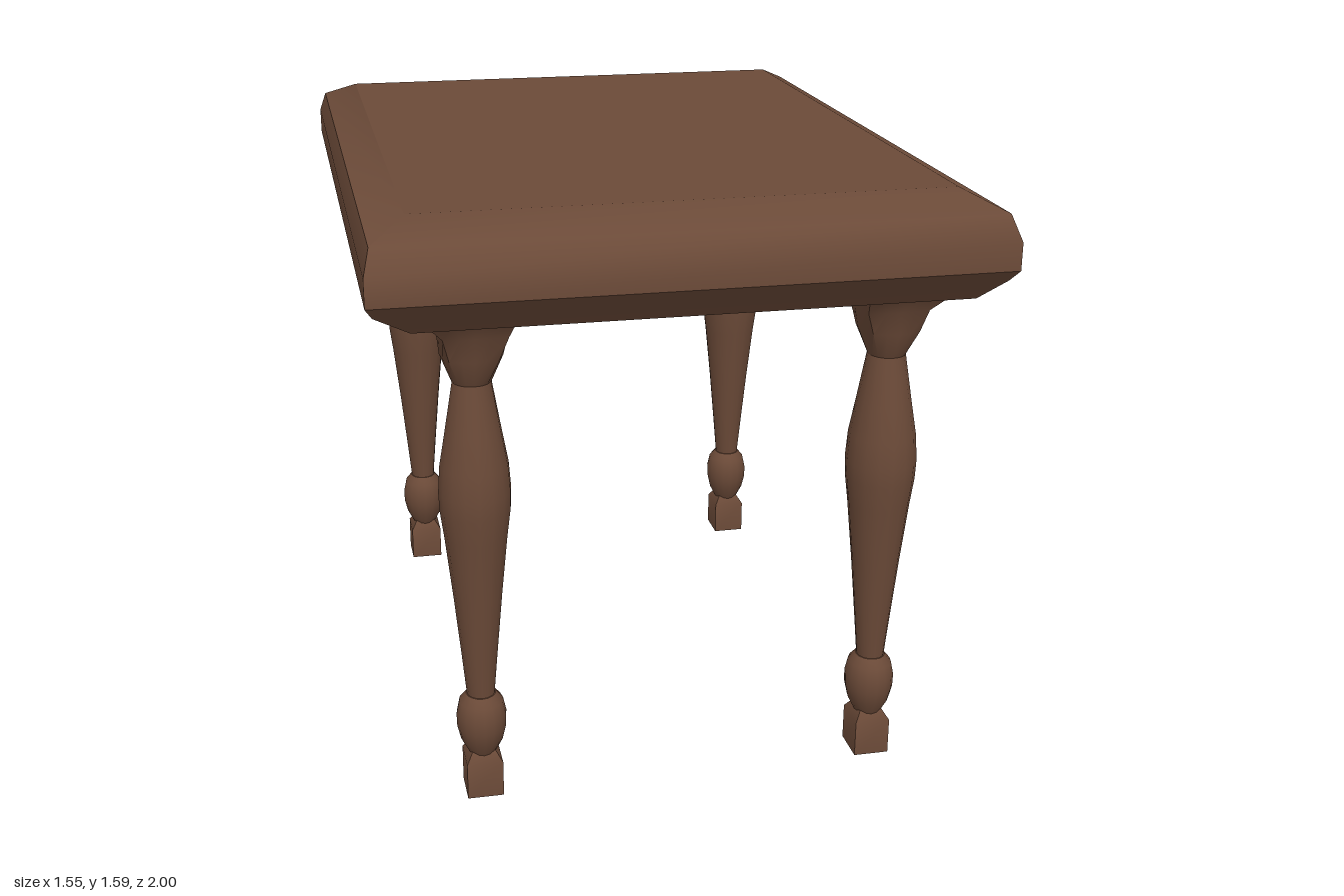
import * as THREE from 'three';
import { toCreasedNormals } from 'three/addons/utils/BufferGeometryUtils.js';

const CREASE = 0.69;

// Joins cross-section loops (ordered by angle, bottom to top), with an optional bottom cap
function loft(rings, capBottom) {
  const n = rings[0].length;
  const pos = rings.flat(2);
  const idx = [];
  for (let r = 0; r < rings.length - 1; r++) {
    for (let i = 0; i < n; i++) {
      const j = (i + 1) % n;
      const a = r * n + i, b = r * n + j;
      idx.push(a, a + n, b, b, a + n, b + n);
    }
  }
  if (capBottom) for (let i = 1; i < n - 1; i++) idx.push(0, i, i + 1);
  const g = new THREE.BufferGeometry();
  g.setAttribute('position', new THREE.Float32BufferAttribute(pos, 3));
  g.setIndex(idx);
  return toCreasedNormals(g, CREASE);
}

// Rectangular loop
const rect = (y, x0, x1, z0, z1) => [[x1, y, z1], [x0, y, z1], [x0, y, z0], [x1, y, z0]];

// Loop blending circle (t = 0) to square (t = 1), with its own reach on the outer sides
function bracketRing(y, inner, outX, outZ, t, sx, sz) {
  const pts = [];
  for (let i = 0; i < 16; i++) {
    const a = (i / 16) * Math.PI * 2;
    const c = Math.cos(a), s = Math.sin(a);
    const k = THREE.MathUtils.lerp(1, 1 / Math.max(Math.abs(c), Math.abs(s)), t);
    pts.push([c * k * (c * sx > 0 ? outX : inner), y, s * k * (s * sz > 0 ? outZ : inner)]);
  }
  return pts;
}

function turned(profile) {
  const g = new THREE.LatheGeometry(profile.map(([r, y]) => new THREE.Vector2(r, y)), 16);
  g.scale(1, 1, 1.08);
  return toCreasedNormals(g, CREASE);
}

export function createModel() {
  const wood = new THREE.MeshStandardMaterial({ color: 0x6b4a38 });
  wood.name = 'brown wood';
  const table = new THREE.Group();
  table.name = 'table';

  const add = (parent, name, geometry) => {
    const mesh = new THREE.Mesh(geometry, wood);
    mesh.name = name;
    parent.add(mesh);
    return mesh;
  };

  // Tabletop: moulded edge, underside and flat top panel
  add(table, 'tabletopEdge', loft([
    rect(1.325, -0.668, 0.697, -0.94, 0.925),
    rect(1.38, -0.756, 0.757, -0.967, 0.972),
    rect(1.41, -0.773, 0.773, -1, 1),
    rect(1.48, -0.773, 0.773, -1, 1),
    rect(1.54, -0.756, 0.757, -0.957, 0.957),
    rect(1.585, -0.665, 0.665, -0.85, 0.85),
  ], true));
  const panel = new THREE.PlaneGeometry(1.33, 1.7).rotateX(-Math.PI / 2);
  add(table, 'tabletopPanel', panel).position.y = 1.585;

  // Turned leg parts shared by all four legs
  const shaft = turned([
    [0.036, 0.28], [0.045, 0.38], [0.062, 0.56], [0.08, 0.73], [0.089, 0.8],
    [0.091, 0.85], [0.086, 0.92], [0.07, 1.01], [0.048, 1.14],
  ]);
  const ball = turned([
    [0.036, 0.115], [0.055, 0.152], [0.064, 0.19], [0.065, 0.225],
    [0.057, 0.262], [0.039, 0.284], [0, 0.285],
  ]);
  const foot = loft([
    rect(0, -0.047, 0.047, -0.051, 0.051),
    rect(0.098, -0.047, 0.047, -0.051, 0.051),
    rect(0.128, -0.028, 0.028, -0.03, 0.03),
  ], true);

  // Legs: the bracket flares toward the table's outer corner
  for (const [side, x, sx] of [['Left', 0.545, 1], ['Right', -0.511, -1]]) {
    for (const [end, z, sz] of [['front', 0.741, 1], ['back', -0.759, -1]]) {
      const leg = new THREE.Group();
      leg.name = `${end}${side}Leg`;
      leg.position.set(x, 0, z);
      add(leg, 'foot', foot);
      add(leg, 'ball', ball);
      add(leg, 'shaft', shaft);
      add(leg, 'bracket', loft([
        bracketRing(1.138, 0.049, 0.049, 0.052, 0, sx, sz),
        bracketRing(1.21, 0.079, 0.077, 0.086, 0.25, sx, sz),
        bracketRing(1.27, 0.091, 0.083, 0.093, 0.7, sx, sz),
        bracketRing(1.33, 0.099, 0.124, 0.138, 1, sx, sz),
      ], true));
      table.add(leg);
    }
  }
  return table;
}
